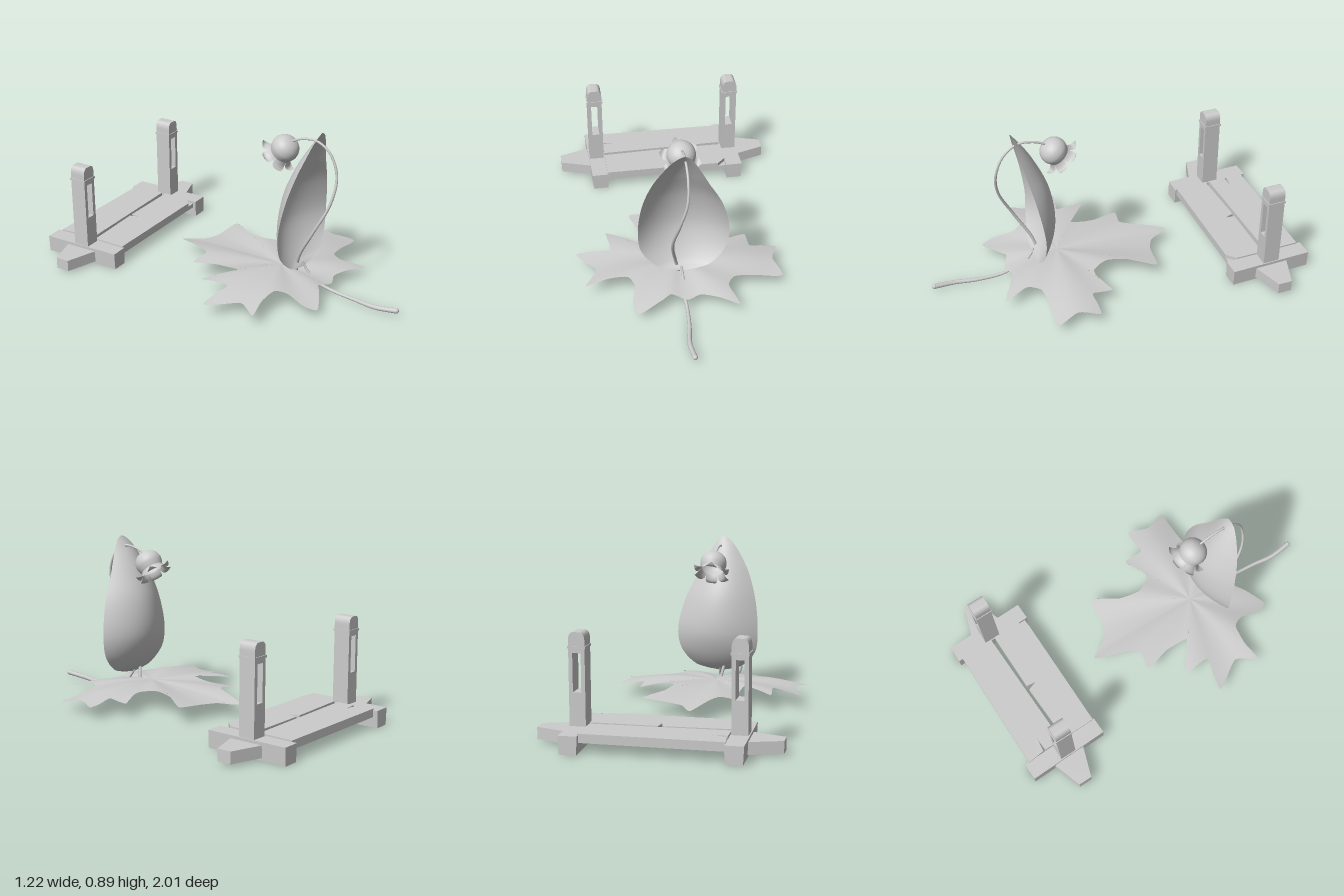
import * as THREE from 'three';

const V = (x, y, z) => new THREE.Vector3(x, y, z);
const solid = new THREE.MeshStandardMaterial({ color: 0xcccccc });
const thin = new THREE.MeshStandardMaterial({ color: 0xcccccc, side: THREE.DoubleSide });

function add(parent, name, geometry, material = solid) {
  const mesh = new THREE.Mesh(geometry, material);
  mesh.name = name;
  parent.add(mesh);
  return mesh;
}

// Smooth grid surface from fn(u, v) -> Vector3, with u and v from 0 to 1
function sheet(cols, rows, fn) {
  const pos = [], index = [];
  for (let j = 0; j <= rows; j++)
    for (let i = 0; i <= cols; i++) pos.push(...fn(i / cols, j / rows).toArray());
  for (let j = 0; j < rows; j++)
    for (let i = 0; i < cols; i++) {
      const a = j * (cols + 1) + i, b = a + cols + 1;
      index.push(a, a + 1, b, a + 1, b + 1, b);
    }
  const g = new THREE.BufferGeometry();
  g.setAttribute('position', new THREE.Float32BufferAttribute(pos, 3));
  g.setIndex(index);
  g.computeVertexNormals();
  return g;
}

// Round stalk along a path, its radius running from r0 to r1
function stalk(points, r0, r1, seg = 48) {
  const curve = new THREE.CatmullRomCurve3(points.map(p => V(...p)));
  const g = new THREE.TubeGeometry(curve, seg, 1, 10);
  const p = g.attributes.position, v = V(0, 0, 0);
  for (let i = 0; i < p.count; i++) {
    const t = Math.floor(i / 11) / seg, c = curve.getPointAt(t);
    v.fromBufferAttribute(p, i).sub(c).multiplyScalar(r0 + (r1 - r0) * t).add(c);
    p.setXYZ(i, v.x, v.y, v.z);
  }
  return g;
}

// Plan outline in x and z, thickened downward from the height top
function slab(points, top, thickness) {
  const shape = new THREE.Shape(points.map(p => new THREE.Vector2(...p)));
  return new THREE.ExtrudeGeometry(shape, { depth: thickness, bevelEnabled: false })
    .rotateX(Math.PI / 2).translate(0, top, 0);
}

function groundLeaf() {
  const group = new THREE.Group();
  group.name = 'groundLeaf';
  const outline = [
    [-.03, -.34], [.045, -.235], [.13, -.2], [.28, -.185], [.205, -.05], [.185, .07], [.235, .155],
    [.31, .145], [.39, .1], [.4, .21], [.47, .205], [.545, .21], [.51, .32], [.55, .435], [.4, .445],
    [.29, .46], [.25, .53], [.295, .65], [.2, .61], [.1, .575], [.03, .6], [-.05, .57], [-.1, .605],
    [-.22, .67], [-.25, .6], [-.235, .5], [-.27, .44], [-.38, .435], [-.49, .455], [-.43, .34],
    [-.535, .185], [-.44, .19], [-.35, .2], [-.37, .05], [-.29, .11], [-.2, .165], [-.195, .03],
    [-.235, -.105], [-.13, -.1], [-.09, -.17]];
  const rim = new THREE.CatmullRomCurve3(outline.map(([x, z]) => V(x, 0, z)), true, 'catmullrom', .3);
  const height = (x, z) => {
    const dz = z - .3, r = Math.hypot(x, dz);
    const ripple = .02 * r * Math.cos(7 * Math.atan2(dz, x)) + .012 * Math.sin(Math.min(1, Math.abs(x) / .5) * Math.PI);
    return .103 - .13 * x * x - (dz > 0 ? .42 : .08) * dz * dz + ripple;
  };
  add(group, 'lobedBlade', sheet(outline.length * 5, 14, (u, v) => {
    const p = rim.getPoint(u), x = p.x * v, z = .3 + (p.z - .3) * v;
    return V(x, height(x, z), z);
  }), thin);
  add(group, 'leafStalk', stalk([[.01, .09, .42], [.01, .06, .51], [.025, .028, .6], [.025, .017, .75],
    [.015, .019, .87], [.03, .03, .99]], .006, .014));
  add(group, 'stalkEnd', new THREE.SphereGeometry(.014, 16, 10)).position.set(.03, .03, .985);
  return group;
}

function flowerPlant() {
  const group = new THREE.Group();
  group.name = 'flowerPlant';

  // Cupped upright leaf: height, left x, right x, edge z, middle z
  const rows = [
    [.13, 0, .02, .44, .44], [.142, -.06, .1, .44, .43], [.165, -.12, .165, .435, .4],
    [.25, -.195, .24, .42, .347], [.365, -.21, .26, .415, .315], [.545, -.19, .22, .44, .335],
    [.7, -.14, .143, .475, .4], [.79, -.09, .1, .498, .45], [.85, -.048, .068, .512, .49],
    [.883, -.012, .045, .52, .513], [.895, .014, .024, .52, .52]];
  const curve = f => new THREE.CatmullRomCurve3(rows.map(f));
  const left = curve(([y, l, r, e]) => V(l, y, e));
  const right = curve(([y, l, r, e]) => V(r, y, e));
  const middle = curve(([y, l, r, e, m]) => V((l + r) / 2, y, m));
  add(group, 'uprightLeaf', sheet(24, 60, (u, v) => {
    const s = 2 * u - 1, l = left.getPoint(v), r = right.getPoint(v), m = middle.getPoint(v);
    const bend = l.clone().add(r).multiplyScalar(.5).sub(m);
    return m.addScaledVector(r.sub(l), s / 2).addScaledVector(bend, s * s);
  }), thin);
  add(group, 'uprightLeafStalk', stalk([[.01, .15, .43], [.017, .12, .445], [.02, .08, .475], [.028, .035, .515]], .006, .007, 16));

  // Arching stem that carries the flower
  add(group, 'flowerStem', stalk([[0, .03, .39], [0, .09, .4], [-.02, .19, .425], [-.04, .365, .52],
    [-.01, .54, .6], [.025, .68, .61], [.03, .79, .565], [.025, .842, .49], [.022, .836, .4], [.02, .808, .338]], .009, .006, 80));

  // Nodding bell: its mouth points along the local -y axis
  const flower = new THREE.Group();
  flower.name = 'flower';
  flower.position.set(.02, .815, .345);
  flower.rotation.x = .69;
  group.add(flower);
  const profile = [[.062, -.108], [.069, -.09], [.074, -.065], [.066, -.035], [.045, -.012], [.02, -.002], [.0001, 0]];
  const bell = new THREE.SplineCurve(profile.map(p => new THREE.Vector2(...p)));
  add(flower, 'bell', new THREE.LatheGeometry(bell.getPoints(24), 36), thin);
  // Pointed petals curling outward from the mouth
  for (let k = 0; k < 6; k++) {
    const petal = add(flower, 'petal', sheet(8, 10, (u, v) => {
      const a = (u - .5) * 1.04 * (1 - v * v), r = .062 + .05 * v ** 1.3;
      return V(r * Math.sin(a), -.106 - .034 * Math.sin(v * 2.5), r * Math.cos(a));
    }), thin);
    petal.rotation.y = k * Math.PI / 3 + .2;
  }
  return group;
}

function plankStand() {
  const group = new THREE.Group();
  group.name = 'plankStand';
  group.position.z = -.757;
  group.rotation.y = .062;

  // Two worn planks with splits and a chipped corner
  add(group, 'backPlank', slab([[-.36, -.2], [.35, -.2], [.35, -.012], [-.35, .008], [-.35, -.09],
    [-.27, -.094], [-.35, -.105]], .1, .045));
  add(group, 'frontPlank', slab([[-.35, .03], [-.012, .015], [.005, .065], [.012, .014], [.355, .012],
    [.355, .165], [.31, .21], [-.35, .215]], .1, .045));
  add(group, 'chippedCorner', slab([[.355, .165], [.355, .21], [.31, .21]], .08, .025));

  for (const s of [-1, 1]) {
    const side = new THREE.Group();
    side.name = s > 0 ? 'leftEnd' : 'rightEnd';
    side.position.x = s * .398;
    group.add(side);

    // Cross beam, slightly narrower at its foot
    const half = .225;
    const beam = new THREE.Shape([[-.042, 0], [.042, 0], [.047, .092], [-.047, .092]].map(p => new THREE.Vector2(...p)));
    add(side, 'crossBeam', new THREE.ExtrudeGeometry(beam, { depth: 2 * half, bevelEnabled: false }).translate(0, 0, -half))
      .rotation.y = .025;

    // Tapered tongue pointing outward
    const tongue = [[-.04, -.1], [.035, -.095], [.21, -.038], [.21, .038], [.035, .095], [-.04, .1]];
    add(side, 'endTongue', slab(tongue.map(([x, z]) => [s * x, z]), .076, .062));

    // Post with an arched top and a slot through it
    const w = .041, post = new THREE.Shape();
    post.moveTo(-w, .05).lineTo(w, .05).lineTo(w, .515);
    post.bezierCurveTo(w, .54, .03, .555, .014, .555).lineTo(-.014, .555);
    post.bezierCurveTo(-.03, .555, -w, .54, -w, .515);
    const slot = new THREE.Path();
    slot.moveTo(-.021, .26).lineTo(-.021, .453).lineTo(.021, .453).lineTo(.021, .26);
    post.holes.push(slot);
    add(side, 'post', new THREE.ExtrudeGeometry(post, { depth: .09, bevelEnabled: false, curveSegments: 8 }).translate(0, 0, -.045));
    add(side, 'postBand', new THREE.BoxGeometry(.09, .012, .098)).position.y = .481;
  }
  return group;
}

export function createModel() {
  const model = new THREE.Group();
  model.name = 'leafAndPlankScene';
  model.add(groundLeaf(), flowerPlant(), plankStand());
  return model;
}
